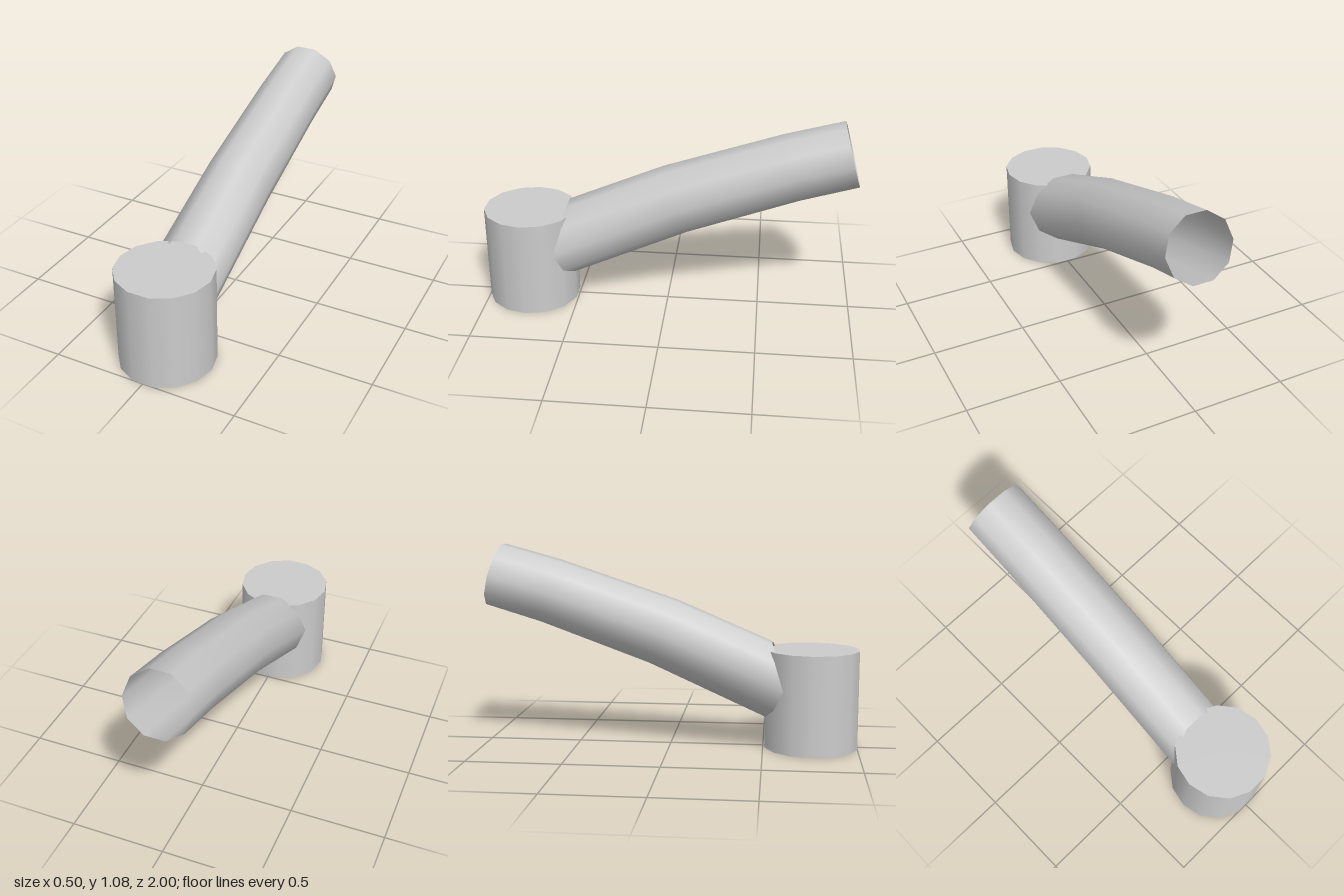
import * as THREE from 'three';

// Open ten-sided tube lofted through rings given by their top and bottom edge (z, y) and half-width
function loftTube(rings, sides) {
  const positions = [];
  const index = [];
  const step = (Math.PI * 2) / sides;
  for (const { top, bottom, halfWidth } of rings) {
    for (let j = 0; j < sides; j++) {
      const a = step * (j + 0.5);
      const t = 0.5 + (0.5 * Math.cos(a)) / Math.cos(step / 2);
      positions.push(
        halfWidth * Math.sin(a),
        THREE.MathUtils.lerp(bottom[1], top[1], t),
        THREE.MathUtils.lerp(bottom[0], top[0], t)
      );
    }
  }
  for (let i = 0; i < rings.length - 1; i++) {
    for (let j = 0; j < sides; j++) {
      const k = (j + 1) % sides;
      const a = i * sides + j, b = i * sides + k;
      index.push(a, b, a + sides, b, b + sides, a + sides);
    }
  }
  const geometry = new THREE.BufferGeometry();
  geometry.setAttribute('position', new THREE.Float32BufferAttribute(positions, 3));
  geometry.setIndex(index);
  geometry.computeVertexNormals();
  return geometry;
}

export function createModel() {
  const group = new THREE.Group();
  group.name = 'angledPipe';
  const grey = new THREE.MeshStandardMaterial({ color: 0xcccccc, side: THREE.DoubleSide });
  grey.name = 'light grey';

  // Upright capped drum, a flat side facing front
  const drum = new THREE.Mesh(
    new THREE.CylinderGeometry(0.251, 0.251, 0.528, 14, 1, false, Math.PI / 14),
    grey
  );
  drum.name = 'drum';
  drum.position.set(0, 0.264, 0.755);
  group.add(drum);

  // Gently curved, tapering open pipe rising towards the back
  const pipe = new THREE.Mesh(
    loftTube([
      { top: [0.545, 0.56], bottom: [0.74, 0.066], halfWidth: 0.192 },
      { top: [0.03, 0.78], bottom: [-0.11, 0.45], halfWidth: 0.187 },
      { top: [-0.6, 0.99], bottom: [-0.7, 0.665], halfWidth: 0.18 },
      { top: [-0.91, 1.075], bottom: [-1, 0.755], halfWidth: 0.177 },
    ], 10),
    grey
  );
  pipe.name = 'pipe';
  group.add(pipe);

  return group;
}
